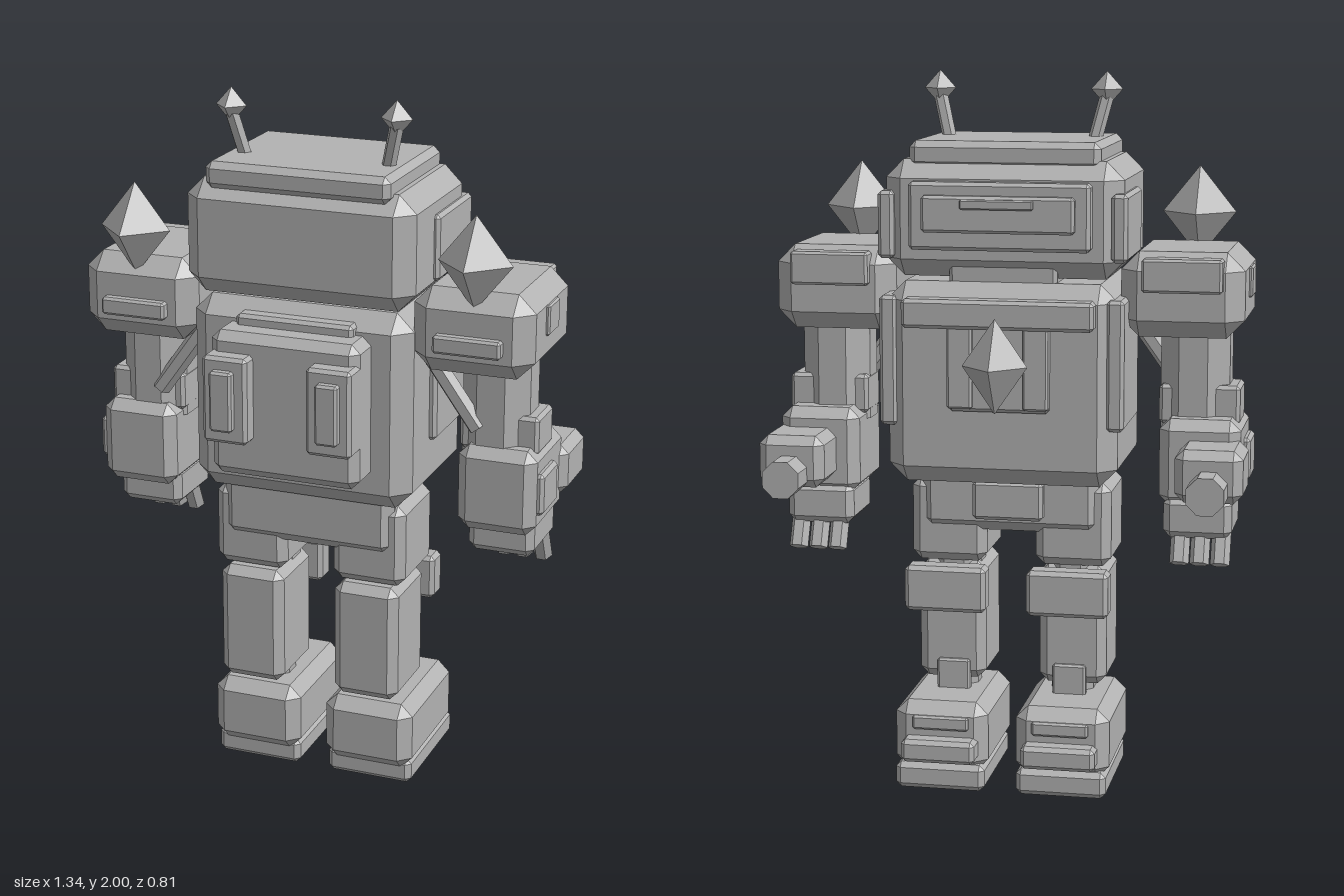
import * as THREE from 'three';
import { ConvexGeometry } from 'three/addons/geometries/ConvexGeometry.js';

const armour = new THREE.MeshStandardMaterial({ color: 0xb2b2b2 });
armour.name = 'grey armour';

// Box with every edge cut flat, given by its limits on each axis
function chamferBox([x0, x1], [y0, y1], [z0, z1], c) {
  const h = [(x1 - x0) / 2, (y1 - y0) / 2, (z1 - z0) / 2];
  const pts = [];
  for (const sx of [-1, 1]) for (const sy of [-1, 1]) for (const sz of [-1, 1]) {
    for (let axis = 0; axis < 3; axis++) {
      const p = h.map((v, i) => (i === axis ? v : v - c));
      pts.push(new THREE.Vector3(sx * p[0], sy * p[1], sz * p[2]));
    }
  }
  return new ConvexGeometry(pts).translate((x0 + x1) / 2, (y0 + y1) / 2, (z0 + z1) / 2);
}

// Faceted rod between two points
function rod(from, to, radius, sides) {
  const a = new THREE.Vector3(...from), b = new THREE.Vector3(...to);
  const dir = b.clone().sub(a);
  const g = new THREE.CylinderGeometry(radius, radius, dir.length(), sides);
  g.rotateY(Math.PI / sides);
  g.applyQuaternion(new THREE.Quaternion().setFromUnitVectors(new THREE.Vector3(0, 1, 0), dir.normalize()));
  const mid = a.add(b).multiplyScalar(0.5);
  return g.translate(mid.x, mid.y, mid.z).toNonIndexed();
}

function gem(x, y, z, w, h) {
  return new THREE.OctahedronGeometry(1).scale(w, h, w).translate(x, y, z);
}

// Copy a geometry to the other side of x = 0, keeping faces outward
function mirror(geometry) {
  const g = geometry.clone();
  const p = g.attributes.position;
  for (let i = 0; i < p.count; i += 3) {
    const t = [0, 1, 2].map(k => [-p.getX(i + k), p.getY(i + k), p.getZ(i + k)]);
    [t[0], t[2], t[1]].forEach((v, k) => p.setXYZ(i + k, ...v));
  }
  return g;
}

export function createModel() {
  const model = new THREE.Group();
  model.name = 'robot';
  const add = (name, geometry) => {
    geometry.computeVertexNormals();
    const mesh = new THREE.Mesh(geometry, armour);
    mesh.name = name;
    model.add(mesh);
  };
  const box = (name, x, y, z, c = 0.01) => add(name, chamferBox(x, y, z, c));
  const pair = (name, geometry) => {
    add(name + 'Left', geometry);
    add(name + 'Right', mirror(geometry));
  };
  const boxes = (name, x, y, z, c = 0.01) => pair(name, chamferBox(x, y, z, c));

  // Head
  box('head', [-0.33, 0.33], [1.45, 1.77], [-0.22, 0.25], 0.05);
  box('headCap', [-0.265, 0.265], [1.745, 1.82], [-0.185, 0.24], 0.018);
  box('facePlate', [-0.25, 0.25], [1.53, 1.715], [-0.262, -0.2]);
  box('visor', [-0.21, 0.21], [1.58, 1.68], [-0.285, -0.25], 0.008);
  box('visorSlit', [-0.1, 0.1], [1.645, 1.672], [-0.298, -0.28], 0.004);
  boxes('earPanel', [0.3, 0.345], [1.5, 1.685], [-0.22, 0.06]);
  pair('antenna', rod([0.205, 1.8, 0.085], [0.237, 1.93, 0.107], 0.02, 6));
  pair('antennaTip', gem(0.238, 1.95, 0.107, 0.045, 0.05));
  box('neck', [-0.15, 0.15], [1.38, 1.5], [-0.2, 0.13]);

  // Torso
  box('torso', [-0.32, 0.32], [0.88, 1.44], [-0.25, 0.23], 0.05);
  boxes('torsoSidePanel', [0.29, 0.34], [1.04, 1.4], [-0.235, 0.05]);
  box('chestBar', [-0.265, 0.265], [1.32, 1.4], [-0.295, -0.2]);
  box('chestPlate', [-0.14, 0.14], [1.09, 1.33], [-0.268, -0.22]);
  boxes('chestStrip', [0.07, 0.14], [1.1, 1.33], [-0.285, -0.24], 0.006);
  add('chestGem', gem(0, 1.225, -0.315, 0.09, 0.13));

  // Pack on the other side of the torso
  box('pack', [-0.215, 0.215], [0.97, 1.38], [0.18, 0.335], 0.025);
  box('packTopStrip', [-0.17, 0.17], [1.36, 1.41], [0.18, 0.255]);
  boxes('packPod', [0.085, 0.215], [1.08, 1.325], [0.3, 0.385]);
  boxes('packPodPlate', [0.12, 0.185], [1.12, 1.29], [0.36, 0.41], 0.007);

  // Shoulders
  boxes('shoulder', [0.315, 0.655], [1.29, 1.525], [-0.172, 0.22], 0.05);
  boxes('shoulderButton', [0.63, 0.665], [1.39, 1.475], [-0.015, 0.08], 0.005);
  boxes('shoulderFrontPlate', [0.39, 0.58], [1.36, 1.41], [0.18, 0.248], 0.007);
  boxes('shoulderBackPlate', [0.38, 0.6], [1.42, 1.512], [-0.203, -0.14], 0.007);
  pair('shoulderSpike', gem(0.492, 1.605, 0.195, 0.104, 0.13));

  // Arms
  pair('upperArm', rod([0.512, 1.02, 0.005], [0.512, 1.35, 0.005], 0.104, 8));
  boxes('elbow', [0.415, 0.64], [1.04, 1.15], [-0.07, 0.07]);
  pair('armStrut', rod([0.31, 1.34, 0.09], [0.475, 1.11, 0.09], 0.027, 6));
  boxes('forearm', [0.425, 0.65], [0.82, 1.065], [-0.155, 0.13], 0.03);
  boxes('forearmPlate', [0.62, 0.668], [0.88, 1.0], [-0.04, 0.1]);
  boxes('hand', [0.44, 0.63], [0.735, 0.85], [-0.16, 0.06], 0.02);
  for (const x of [0.487, 0.543, 0.6]) {
    pair('finger', rod([x, 0.765, -0.108], [x, 0.664, -0.155], 0.027, 6));
  }
  boxes('cannonMount', [0.487, 0.672], [0.865, 1.01], [-0.305, -0.105], 0.025);
  pair('cannonBarrel', rod([0.582, 0.905, -0.28], [0.582, 0.905, -0.393], 0.055, 8));

  // Hips
  box('pelvis', [-0.255, 0.255], [0.72, 0.92], [-0.11, 0.172], 0.03);
  box('buckle', [-0.1, 0.1], [0.76, 0.87], [-0.14, -0.08]);

  // Legs
  boxes('thigh', [0.07, 0.285], [0.625, 0.865], [-0.095, 0.155], 0.025);
  pair('kneeJoint', rod([0.168, 0.5, 0.005], [0.168, 0.7, 0.005], 0.078, 8));
  boxes('kneePlate', [0.058, 0.29], [0.495, 0.625], [-0.17, -0.095], 0.012);
  boxes('shin', [0.078, 0.27], [0.275, 0.62], [-0.072, 0.167], 0.025);
  boxes('ankleGuard', [0.12, 0.215], [0.23, 0.335], [-0.085, -0.05], 0.006);
  pair('ankle', rod([0.168, 0.2, 0.01], [0.168, 0.33, 0.01], 0.065, 8));
  boxes('foot', [0.04, 0.305], [0.05, 0.25], [-0.247, 0.148], 0.035);
  boxes('sole', [0.045, 0.3], [0, 0.075], [-0.257, 0.118], 0.015);
  boxes('toeBar', [0.065, 0.275], [0.09, 0.155], [-0.3, -0.22], 0.012);
  boxes('toePlate', [0.09, 0.25], [0.175, 0.215], [-0.258, -0.22], 0.006);

  return model;
}
